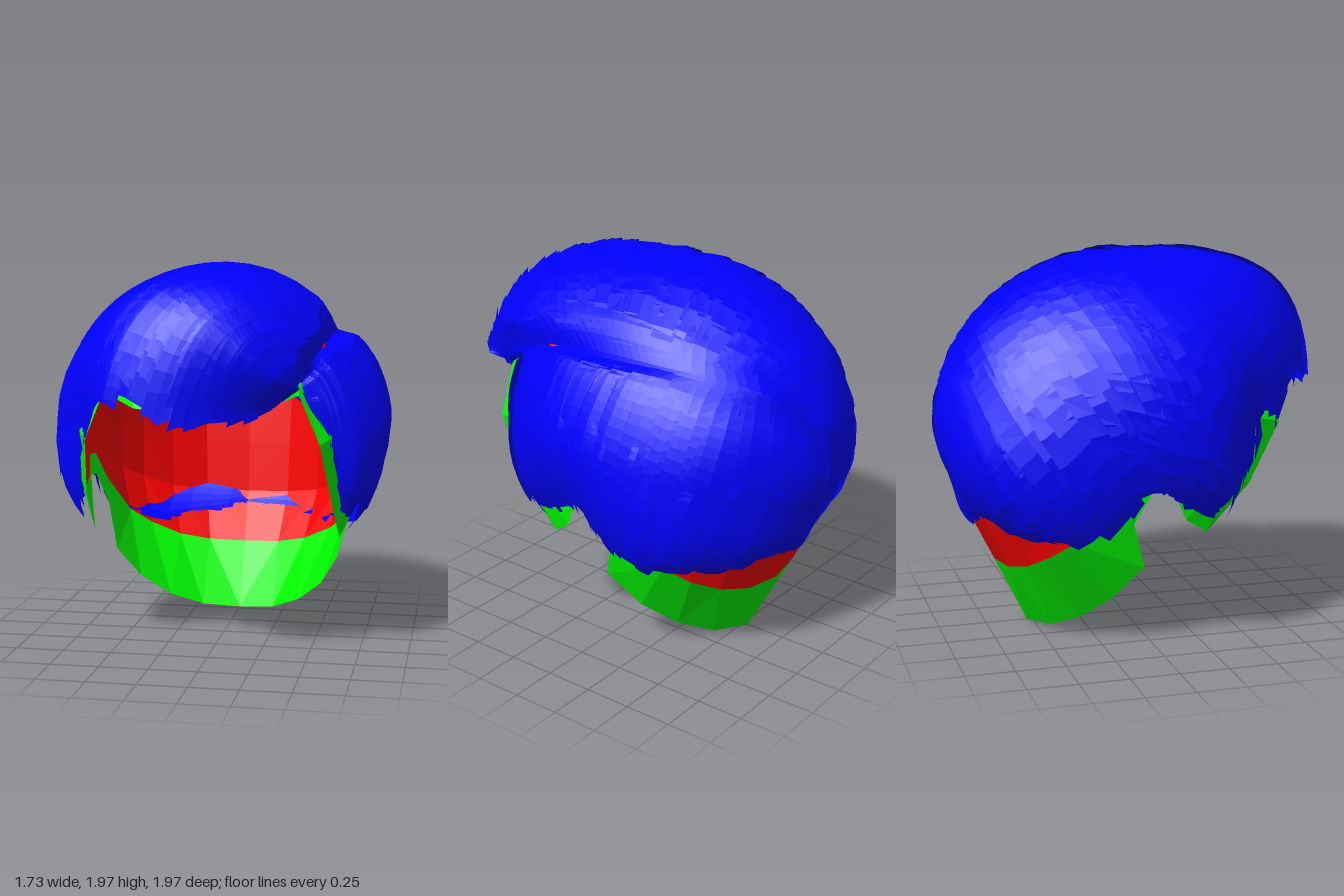
import * as THREE from 'three';
import { mergeGeometries } from 'three/addons/utils/BufferGeometryUtils.js';

const V = (p) => new THREE.Vector3(...p);
const { lerp, smoothstep, clamp } = THREE.MathUtils;
const CENTRE = new THREE.Vector3(0, 1.1, 0);
const material = (color) => new THREE.MeshStandardMaterial({ color, flatShading: true, side: THREE.DoubleSide });
const BLUE = material(0x0000ff), RED = material(0xff0000), GREEN = material(0x00ff00);

let seed = 7;
const rand = (a, b) => {
  seed = (seed * 16807) % 2147483647;
  return a + (b - a) * seed / 2147483647;
};

// Size of an offset measured against a head-shaped rounded solid (1 = on its surface)
function measure(d, s) {
  const x = Math.abs(d.x) / s.x, y = Math.abs(d.y) / (d.y > 0 ? s.up : s.down);
  const z = Math.abs(d.z) / (d.z > 0 ? s.front : s.back);
  const p = d.z > 0 ? s.power : 2;
  return Math.sqrt(x * x + (y ** p + z ** p) ** (2 / p));
}

// Grid of quads over a function (u, v) -> Vector3
function sheet(fn, nu, nv) {
  const pos = [], index = [];
  for (let i = 0; i <= nu; i++) for (let j = 0; j <= nv; j++) pos.push(...fn(i / nu, j / nv).toArray());
  for (let i = 0; i < nu; i++) for (let j = 0; j < nv; j++) {
    const a = i * (nv + 1) + j, b = a + nv + 1;
    index.push(a, a + 1, b, b, a + 1, b + 1);
  }
  const g = new THREE.BufferGeometry();
  g.setAttribute('position', new THREE.Float32BufferAttribute(pos, 3));
  g.setIndex(index);
  g.computeVertexNormals();
  return g;
}

function add(group, name, geometry, mat) {
  const m = new THREE.Mesh(geometry, mat);
  m.name = name;
  group.add(m);
}

// Hair flows from the parting over a crest to its tips; each list runs front to back
const curve = (pts) => new THREE.CatmullRomCurve3(pts.map(V), false, 'catmullrom', 0.5);
const PARTING = curve([[.46, 1.38, .7], [.5, 1.46, .6], [.54, 1.54, .42], [.57, 1.6, .15], [.58, 1.62, -.1],
  [.55, 1.61, -.35], [.45, 1.57, -.62], [.25, 1.45, -.86], [.02, 1.15, -.98]]);

function sweep(crestPts, tipPts, size) {
  const crest = curve(crestPts), tips = curve(tipPts);
  return (u, v, lift = 0) => {
    u = clamp(u, 0, 1);
    const a = PARTING.getPoint(u).sub(CENTRE), m = crest.getPoint(u).sub(CENTRE), b = tips.getPoint(u).sub(CENTRE);
    const ka = measure(a, size), kb = measure(b, size);
    const d = a.multiplyScalar((1 - v) ** 2).addScaledVector(m, 2 * v * (1 - v)).addScaledVector(b, v * v);
    const root = lerp(size.frontRoot, size.root, smoothstep(u, 0, .25));
    const k = 1 + (ka - 1) * (1 - smoothstep(v, 0, root)) + (kb - 1) * smoothstep(v, .6, 1) + lift;
    return d.multiplyScalar(k / measure(d, size)).add(CENTRE);
  };
}

// Base sheet plus overlapping, shingled locks with ragged tips
function hairSide(name, fn, locks) {
  const group = new THREE.Group();
  group.name = name;
  add(group, name + 'Base', sheet((u, v) => fn(u, v), 48, 32), BLUE);
  const cards = [];
  for (let i = 0; i < locks; i++) {
    const u0 = (i + rand(-.4, .4)) / locks, w = rand(.03, .06), skew = rand(-.02, .02);
    const full = i % 3 > 0;
    const v0 = full ? rand(0, .1) : rand(.3, .55), v1 = full ? rand(.93, 1.02) : rand(.97, 1.03);
    const rise = rand(.008, .025), slant = rand(-.03, .03);
    cards.push(sheet((s, t) => fn(u0 + w * s * (1 - .25 * t) + skew * t,
      v0 + (v1 - v0 + slant * (s - .5)) * t,
      .004 + rise * s * Math.min(1, t * 5)), 2, 16));
  }
  add(group, name + 'Locks', mergeGeometries(cards), BLUE);
  return group;
}

// Half of the scalp edge and of the inner edge of its border, front to back
const RIM = [[0, 1.28, .9], [.3, 1.3, .8], [.48, 1.36, .66], [.58, 1.12, .65], [.62, .82, .48], [.64, .59, .25],
  [.68, .67, .13], [.71, .84, .05], [.71, .83, -.05], [.66, .66, -.13], [.6, .42, -.06], [.5, .24, -.2],
  [.36, .11, -.33], [.2, .03, -.45], [0, 0, -.53]];
const BORDER = [[0, 1.38, .87], [.3, 1.4, .77], [.48, 1.42, .6], [.64, 1.15, .53], [.67, .87, .39], [.69, .8, .24],
  [.7, .85, .12], [.72, .95, .03], [.72, .94, -.08], [.69, .78, -.22], [.61, .57, -.42], [.51, .48, -.52],
  [.36, .4, -.6], [.2, .36, -.67], [0, .35, -.7]];
const SCALP = { x: .76, up: .77, down: .75, front: .88, back: .89, power: 2.4 };

function buildScalp() {
  const group = new THREE.Group();
  group.name = 'scalp';
  const n = RIM.length - 1;
  const up = new THREE.Vector3(0, 1, 0);
  for (const side of [1, -1]) {
    const at = (list, u) => V(list[Math.round(u * n)]).multiply(new THREE.Vector3(side, 1, 1));
    const label = side > 0 ? 'left' : 'right';
    add(group, label + 'ScalpBorder', sheet((u, v) => at(RIM, u).lerp(at(BORDER, u), v), n, 1), GREEN);
    // Rows turn evenly from the border up to the crown
    add(group, label + 'ScalpCap', sheet((u, v) => {
      const d = at(BORDER, u).sub(CENTRE), k0 = measure(d, SCALP), angle = d.angleTo(up);
      d.normalize().multiplyScalar(Math.sin((1 - v) * angle)).addScaledVector(up, Math.sin(v * angle));
      const k = lerp(k0, 1, smoothstep(v, 0, .25));
      return d.multiplyScalar(k / measure(d, SCALP)).add(CENTRE);
    }, n, 8), RED);
  }
  return group;
}

export function createModel() {
  const model = new THREE.Group();
  model.name = 'hair';
  model.add(buildScalp());

  // Large swept top, covering the crown, fringe and right side
  const top = sweep(
    [[.45, 1.38, .74], [.4, 1.62, .92], [.2, 2.2, 1.1], [-.1, 2.4, .8], [-.35, 2.4, .3],
      [-.45, 2.3, -.15], [-.45, 2.1, -.65], [-.25, 1.7, -1.1], [0, .9, -1]],
    [[.44, 1.36, .7], [.27, 1.27, .85], [-.08, 1.26, .95], [-.42, 1.37, .82], [-.63, 1.05, .52],
      [-.72, .73, .3], [-.74, .83, -.06], [-.58, .56, -.45], [0, .56, -.8]],
    { x: .83, up: .85, down: .72, front: 1.02, back: .975, power: 3, root: .06, frontRoot: .4 });
  model.add(hairSide('sweptTop', top, 100));

  // Smaller left side, falling from the parting
  const left = sweep(
    [[.5, 1.4, .7], [.65, 1.5, .6], [.8, 1.5, .5], [.9, 1.4, .2], [1, 1.4, -.1],
      [.9, 1.4, -.4], [.8, 1.3, -.7], [.4, 1.1, -1], [0, .9, -1]],
    [[.56, 1.25, .6], [.64, 1, .5], [.67, .74, .36], [.73, .79, .14], [.75, .84, 0],
      [.69, .64, -.14], [.63, .55, -.37], [.38, .56, -.67], [0, .56, -.8]],
    { x: .86, up: .83, down: .74, front: .8, back: .975, power: 2, root: .12, frontRoot: .12 });
  model.add(hairSide('leftSide', left, 70));
  return model;
}
